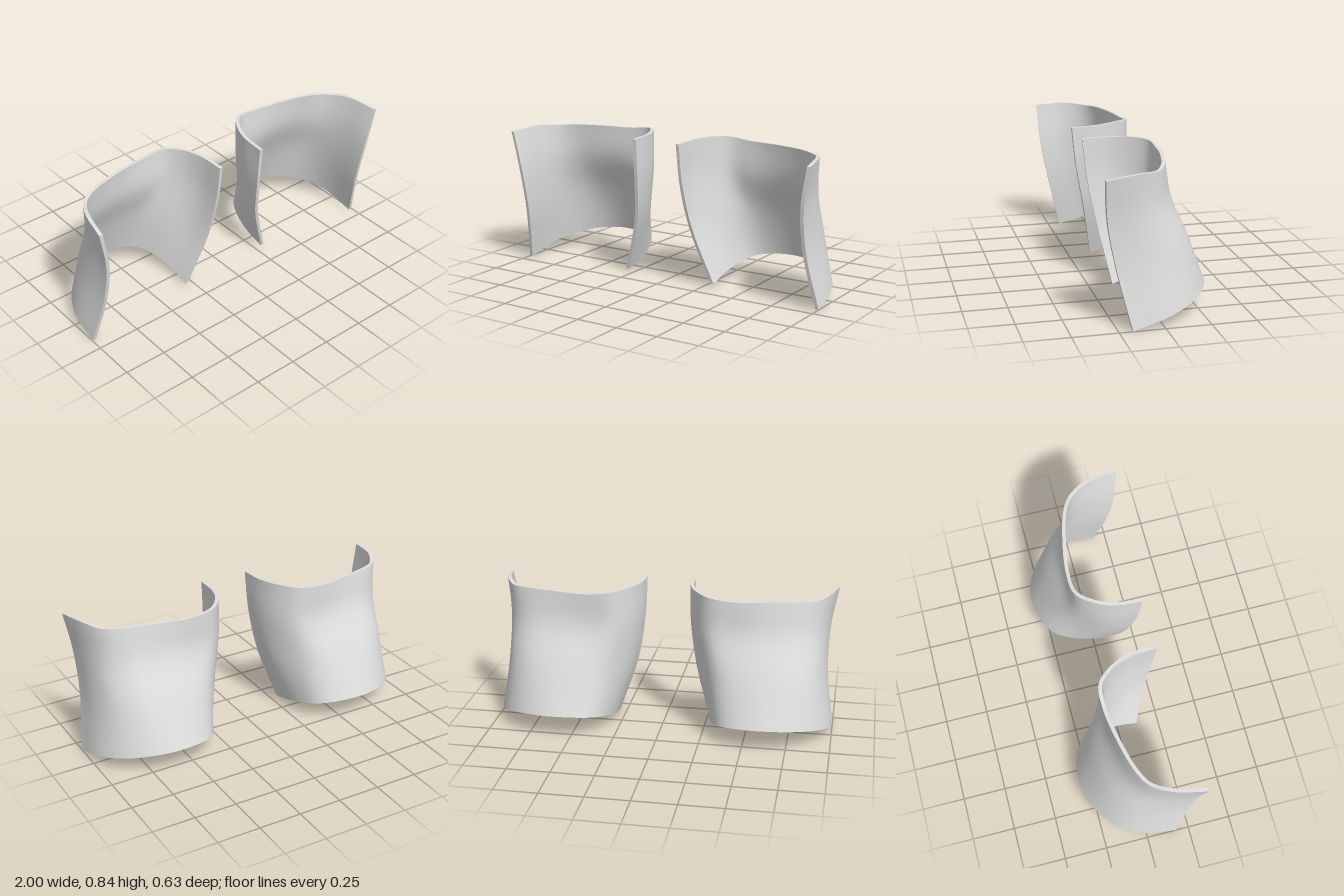
import * as THREE from 'three';
import { toCreasedNormals } from 'three/addons/utils/BufferGeometryUtils.js';

const ROWS = 20, COLS = 40, THICK = 0.02;

// Outer-face cross-sections [x, z], from the inner front edge round the back to the outer front edge
const SECTIONS = [
  { t: 0, pts: [[.285, .12], [.283, 0], [.305, -.12], [.355, -.228], [.44, -.288], [.62, -.315], [.78, -.267], [.905, -.165], [.98, -.02], [1, .175]] },
  { t: 0.4, pts: [[.178, .18], [.195, .05], [.245, -.06], [.325, -.155], [.43, -.2], [.62, -.212], [.78, -.176], [.89, -.085], [.945, .06], [.955, .252]] },
  { t: 0.72, pts: [[.143, .23], [.15, .1], [.192, -.015], [.28, -.107], [.42, -.124], [.62, -.118], [.79, -.078], [.89, 0], [.942, .12], [.96, .3]] },
  { t: 1, pts: [[.135, .255], [.147, .1], [.193, -.018], [.278, -.108], [.42, -.12], [.62, -.09], [.8, -.04], [.89, .014], [.957, .125], [1, .315]] },
];
const TOP_Y = [.835, .84, .845, .84, .825, .825, .822, .817, .825, .81];

// Rings of points: outer face forward, then the inner face back
function shellRings() {
  const columns = TOP_Y.map((top, k) => new THREE.CatmullRomCurve3(SECTIONS.map(({ t, pts }) => {
    const [x, z] = pts[k];
    const bottom = (0.175 - SECTIONS[0].pts[k][1]) * 0.275;
    return new THREE.Vector3(x, bottom + (top - bottom) * t, z);
  })));
  const rings = [];
  for (let j = 0; j <= ROWS; j++) {
    const row = new THREE.CatmullRomCurve3(columns.map((c) => c.getPoint(j / ROWS)));
    const outer = [], inner = [];
    for (let i = 0; i <= COLS; i++) {
      const p = row.getPoint(i / COLS), d = row.getTangent(i / COLS);
      const len = Math.hypot(d.x, d.z);
      outer.push(p);
      inner.push(new THREE.Vector3(p.x - d.z / len * THICK, p.y, p.z + d.x / len * THICK));
    }
    rings.push([...outer, ...inner.reverse()]);
  }
  return rings;
}

// Closed curved plate; side = 1 for left, -1 for the mirrored right
function shellGeometry(side) {
  const rings = shellRings(), n = rings[0].length;
  const positions = rings.flat().flatMap((p) => [p.x * side, p.y, p.z]);
  const index = [];
  const quad = (a, b, c, d) => index.push(...(side > 0 ? [a, b, c, a, c, d] : [a, c, b, a, d, c]));
  for (let j = 0; j < ROWS; j++) {
    for (let i = 0; i < n; i++) {
      const k = (i + 1) % n;
      quad(j * n + i, (j + 1) * n + i, (j + 1) * n + k, j * n + k);
    }
  }
  // Top and bottom rims
  const top = ROWS * n;
  for (let i = 0; i < COLS; i++) {
    const a = i, b = i + 1, c = n - 2 - i, d = n - 1 - i;
    quad(a, b, c, d);
    quad(top + a, top + d, top + c, top + b);
  }
  const geometry = new THREE.BufferGeometry();
  geometry.setAttribute('position', new THREE.Float32BufferAttribute(positions, 3));
  geometry.setIndex(index);
  return toCreasedNormals(geometry, 0.75);
}

export function createModel() {
  const model = new THREE.Group();
  model.name = 'calfGuards';
  const grey = new THREE.MeshStandardMaterial({ color: 0xe0e0e0 });
  grey.name = 'light grey';
  for (const [name, side] of [['leftCalfGuard', 1], ['rightCalfGuard', -1]]) {
    const guard = new THREE.Mesh(shellGeometry(side), grey);
    guard.name = name;
    model.add(guard);
  }
  return model;
}
